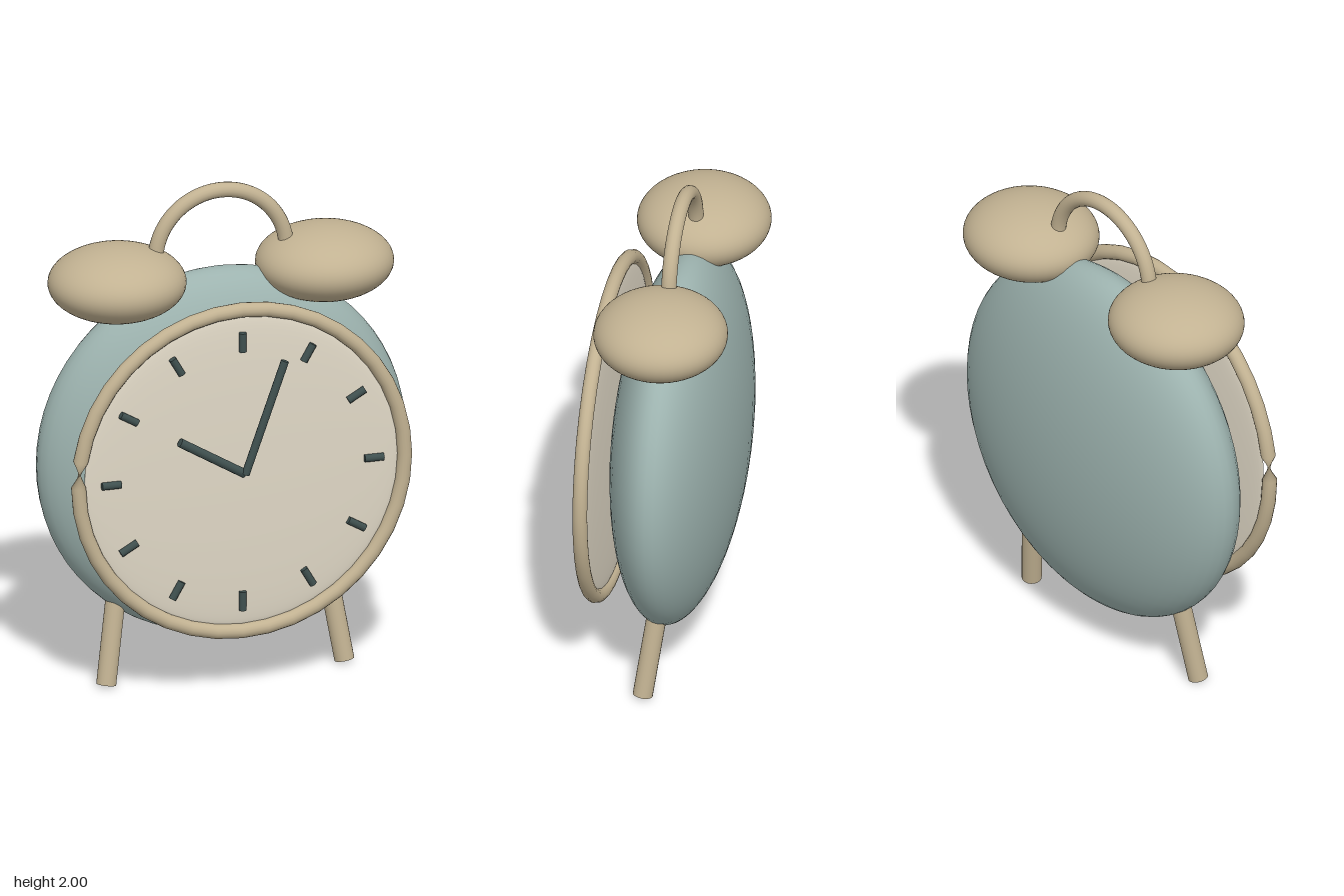
import * as THREE from 'three';

const mat = (name, color) => {
  const m = new THREE.MeshStandardMaterial({ color });
  m.name = name;
  return m;
};

export function createModel() {
  const clock = new THREE.Group();
  clock.name = 'alarmClock';
  const teal = mat('greyTeal', 0x9db3af);
  const brass = mat('paleBrass', 0xc2b292);
  const cream = mat('cream', 0xe0d8c6);
  const dark = mat('darkSlate', 0x3f504f);
  const CY = 0.91, CZ = -0.04; // centre of the case

  const add = (name, geometry, material, x = 0, y = 0, z = 0) => {
    const mesh = new THREE.Mesh(geometry, material);
    mesh.name = name;
    mesh.position.set(x, y, z);
    clock.add(mesh);
    return mesh;
  };
  const ellipsoid = (name, material, r, p) =>
    add(name, new THREE.SphereGeometry(1, 48, 32), material, ...p).scale.set(...r);
  const rod = (name, material, a, b, radius, sides) => {
    const from = new THREE.Vector3(...a), to = new THREE.Vector3(...b);
    const dir = to.clone().sub(from);
    const mid = from.clone().add(to).multiplyScalar(0.5);
    const mesh = add(name, new THREE.CylinderGeometry(radius, radius, dir.length(), sides), material, mid.x, mid.y, mid.z);
    mesh.quaternion.setFromUnitVectors(new THREE.Vector3(0, 1, 0), dir.normalize());
  };

  // Case and slightly domed dial
  ellipsoid('case', teal, [0.745, 0.745, 0.245], [0, CY, CZ]);
  ellipsoid('dial', cream, [0.635, 0.635, 0.025], [0, CY, 0.222]);

  // Bezel ring: the lower half is turned 180 degrees, pinching the tube at one side
  const R = 0.66, arcs = 40, sides = 16;
  const ring = new THREE.TorusGeometry(R, 0.029, sides, arcs);
  const pos = ring.attributes.position, nor = ring.attributes.normal;
  for (let i = 0; i < pos.count; i++) {
    const step = i % (arcs + 1);
    if (step < arcs / 2) continue;
    const u = (step / arcs) * Math.PI * 2;
    pos.setXYZ(i, 2 * R * Math.cos(u) - pos.getX(i), 2 * R * Math.sin(u) - pos.getY(i), -pos.getZ(i));
    nor.setXYZ(i, -nor.getX(i), -nor.getY(i), -nor.getZ(i));
  }
  add('bezel', ring, brass, 0, CY, 0.23);

  // Hour marks
  for (let i = 0; i < 12; i++) {
    const a = (i / 12) * Math.PI * 2;
    const at = (r) => [r * Math.sin(a), CY + r * Math.cos(a), 0.245];
    rod('hourMark', dark, at(0.493), at(0.57), 0.015, 10);
  }

  // Hands
  rod('hourHand', dark, [0, CY, 0.27], [-0.262, 1.066, 0.27], 0.018, 12);
  rod('minuteHand', dark, [0, CY, 0.28], [0.16, 1.36, 0.28], 0.016, 12);

  // Bells and legs, mirrored
  for (const s of [1, -1]) {
    const side = s > 0 ? 'left' : 'right';
    ellipsoid(side + 'Bell', brass, [0.27, 0.145, 0.26], [s * 0.42, 1.635, CZ]);
    rod(side + 'Leg', brass, [s * 0.43, 0.345, -0.027], [s * 0.482, 0.008, 0.018], 0.039, 20);
  }

  // Carrying handle between the bells
  add('handle', new THREE.TorusGeometry(0.265, 0.03, 16, 40, Math.PI), brass, 0, 1.705, CZ);

  return clock;
}
